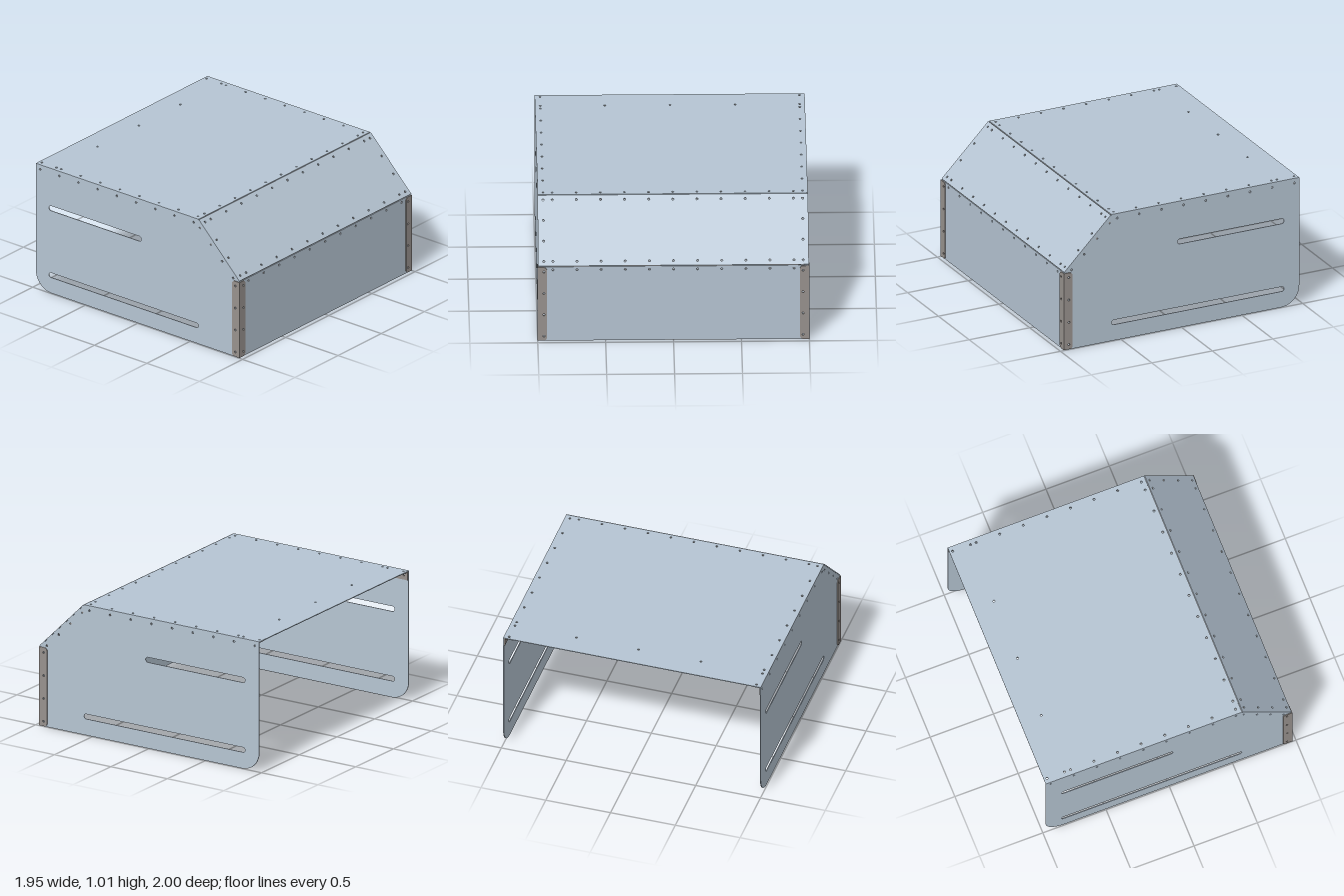
import * as THREE from 'three';

const T = 0.006; // sheet thickness
const sheetMat = new THREE.MeshStandardMaterial({ color: 0xb6c5d3 });
const angleMat = new THREE.MeshStandardMaterial({ color: 0x98928e });

function roundHole(x, y, r = 0.008) {
  const p = new THREE.Path();
  p.absarc(x, y, r, 0, Math.PI * 2, true);
  return p;
}

function slot(x0, x1, y, r) {
  const p = new THREE.Path();
  p.absarc(x1 - r, y, r, -Math.PI / 2, Math.PI / 2, false);
  p.absarc(x0 + r, y, r, Math.PI / 2, Math.PI * 1.5, false);
  p.closePath();
  return p;
}

function extrude(name, shape, holes, mat) {
  shape.holes.push(...holes);
  const geo = new THREE.ExtrudeGeometry(shape, { depth: T, bevelEnabled: false, curveSegments: 10 });
  const mesh = new THREE.Mesh(geo, mat);
  mesh.name = name;
  return mesh;
}

const polygon = (pts) => new THREE.Shape(pts.map(([x, y]) => new THREE.Vector2(x, y)));

// Upright sheet in the xy plane whose back lies at z
function upright(name, z, shape, holes, mat) {
  const mesh = extrude(name, shape, holes, mat);
  mesh.position.z = z;
  return mesh;
}

// Sheet running from a to b in the xy profile and from z0 to z1;
// its outer face lies on the line a-b. Holes are [distance from a, z].
function strip(name, a, b, z0, z1, holes, mat) {
  const A = new THREE.Vector3(a[0], a[1], 0);
  const u = new THREE.Vector3(b[0], b[1], 0).sub(A);
  const len = u.length();
  u.normalize();
  const v = new THREE.Vector3(0, 0, -1);
  const n = new THREE.Vector3().crossVectors(u, v);
  const shape = polygon([[0, -z1], [len, -z1], [len, -z0], [0, -z0]]);
  const mesh = extrude(name, shape, holes.map(([s, z]) => roundHole(s, -z)), mat);
  mesh.geometry.applyMatrix4(new THREE.Matrix4().makeBasis(u, v, n).setPosition(A.addScaledVector(n, -T)));
  return mesh;
}

// Bracket leg with two rounded corners on its free (left) edge
function bracketLeg(w, y0, y1) {
  const r = 0.025;
  const s = new THREE.Shape();
  s.moveTo(w, y0);
  s.lineTo(w, y1);
  s.lineTo(r, y1);
  s.absarc(r, y1 - r, r, Math.PI / 2, Math.PI, false);
  s.absarc(r, y0 + r, r, Math.PI, Math.PI * 1.5, false);
  s.closePath();
  return s;
}

export function createModel() {
  const group = new THREE.Group();
  const add = (...m) => group.add(...m);

  // Hole spacings
  const rowZ = [-5, -4, -3, -2, -1, 0, 1, 2, 3, 4, 5].map((i) => i * 0.1776);
  const topX = Array.from({ length: 9 }, (_, i) => -0.935 + i * 0.183);
  const sheetX = [-0.95, -0.81, ...Array.from({ length: 8 }, (_, i) => -0.765 + i * 0.1865)];
  const slopeS = [0.035, 0.193, 0.352, 0.51];
  const bracketY = [0.04, 0.218, 0.396, 0.575];
  const slopeXY = [0, 1, 2, 3].map((i) => [0.59 + i * 0.105, 0.945 - i * 0.105]);
  const ends = [-0.955, 0.955];

  // Profile corners of the outer sheets
  const back = [-0.975, 1.01], ridge = [0.575, 1.01];
  const slopeTop = [0.582, 1.008], slopeEnd = [0.967, 0.623];
  const frontTop = [0.966, 0.615], frontEnd = [0.966, 0];

  // Top, sloped and end sheets
  add(strip('topPanel', back, ridge, -0.994, 0.994, [
    ...sheetX.flatMap((x) => ends.map((z) => [x + 0.975, z])),
    ...rowZ.map((z) => [1.52, z]),
    ...[-0.48, 0, 0.48].map((z) => [0.165, z]),
  ], sheetMat));
  add(strip('slopedPanel', slopeTop, slopeEnd, -0.996, 0.996, [
    ...slopeS.flatMap((s) => ends.map((z) => [s, z])),
    ...rowZ.flatMap((z) => [[0.035, z], [0.51, z]]),
  ], sheetMat));
  add(strip('endPanel', frontTop, frontEnd, -0.988, 0.988, [
    ...rowZ.map((z) => [0.025, z]),
    ...bracketY.flatMap((y) => ends.map((z) => [0.615 - y, z])),
  ], sheetMat));

  for (const side of [1, -1]) {
    const label = side > 0 ? 'front' : 'rear';
    const zAt = (outer) => (side > 0 ? outer - T : -outer);
    const zs = (a, b) => (side > 0 ? [a, b] : [-b, -a]);

    // Side panel with clipped corner, rounded foot and two long slots
    const s = new THREE.Shape();
    s.moveTo(0.966, 0);
    s.lineTo(0.966, 0.615);
    s.lineTo(0.577, 1.004);
    s.lineTo(-0.975, 1.004);
    s.lineTo(-0.975, 0.15);
    s.absarc(-0.825, 0.15, 0.15, Math.PI, Math.PI * 1.5, false);
    s.closePath();
    add(upright(label + 'SidePanel', zAt(0.994), s, [
      slot(-0.85, 0.03, 0.687, 0.02),
      slot(-0.85, 0.575, 0.145, 0.019),
      ...topX.map((x) => roundHole(x, 0.972)),
      ...slopeXY.map(([x, y]) => roundHole(x, y)),
      ...bracketY.map((y) => roundHole(0.93, y)),
    ], sheetMat));

    // Corner bracket: one leg on the side, one on the end panel
    const legA = upright(label + 'BracketSideLeg', zAt(1), bracketLeg(0.072, 0.003, 0.613),
      bracketY.map((y) => roundHole(0.03, y)), angleMat);
    legA.position.x = 0.9;
    const legB = extrude(label + 'BracketEndLeg', bracketLeg(0.066, 0.003, 0.613),
      bracketY.map((y) => roundHole(0.022, y)), angleMat);
    legB.rotation.y = side > 0 ? -Math.PI / 2 : Math.PI / 2;
    legB.position.set(side > 0 ? 0.972 : 0.966, 0, side * 0.932);
    add(legA, legB);

    // Inner angles joining the side to the top and sloped sheets
    add(upright(label + 'TopAngleSideLeg', zAt(0.988),
      polygon([[-0.97, 0.935], [0.53, 0.935], [0.57, 1.003], [-0.97, 1.003]]),
      topX.map((x) => roundHole(x, 0.972)), angleMat));
    add(upright(label + 'SlopeAngleSideLeg', zAt(0.988),
      polygon([[0.55, 0.943], [0.917, 0.576], [0.96, 0.619], [0.59, 0.989]]),
      slopeXY.map(([x, y]) => roundHole(x, y)), angleMat));
    add(strip(label + 'TopAngleFlange', [-0.97, 1.004], [0.572, 1.004], ...zs(0.918, 0.988),
      sheetX.map((x) => [x + 0.97, side * 0.955]), angleMat));
    add(strip(label + 'SlopeAngleFlange', [0.5778, 1.0037], [0.9628, 0.6187], ...zs(0.918, 0.988),
      slopeS.map((t) => [t, side * 0.955]), angleMat));
  }

  // Bent joint strips behind the two folds
  const joint = (name, a, b, s) => add(strip(name, a, b, -0.915, 0.915, rowZ.map((z) => [s, z]), angleMat));
  joint('ridgeJointTop', [0.508, 1.004], [0.578, 1.004], 0.037);
  joint('ridgeJointSlope', [0.578, 1.0035], [0.628, 0.9535], 0.035);
  joint('eaveJointSlope', [0.91, 0.6715], [0.96, 0.6215], 0.037);
  joint('eaveJointEnd', [0.96, 0.6215], [0.96, 0.555], 0.0315);

  // Cross brace under the top sheet near the open end
  add(strip('crossBraceFlange', [-0.845, 1.004], [-0.775, 1.004], -0.915, 0.915,
    [-0.48, 0, 0.48].map((z) => [0.035, z]), angleMat));
  add(strip('crossBraceWeb', [-0.775, 0.998], [-0.775, 0.935], -0.915, 0.915, [], angleMat));

  return group;
}
